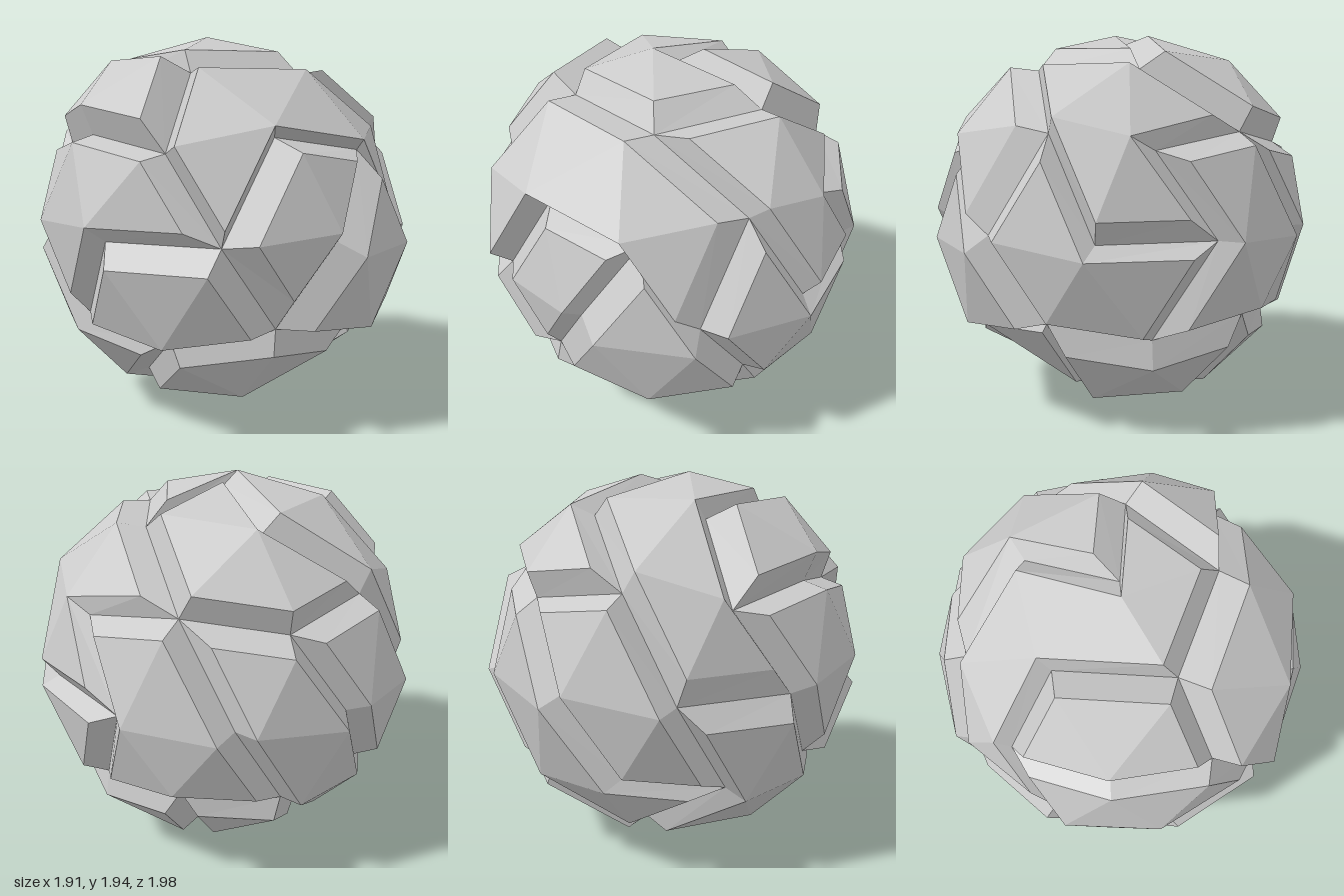
import * as THREE from 'three';

const CENTRE_Y = 0.97, GROOVE_R = 0.905;

// Rings of the subdivided icosahedron: [height, radius]; points are named ring + azimuth
const RINGS = {
  T: [1, 0], A: [0.8507, 0.5257], M: [0.5257, 0.8507], U: [0.4472, 0.8944], E: [0, 1],
  L: [-0.4472, 0.8944], N: [-0.5257, 0.8507], B: [-0.8507, 0.5257], S: [-1, 0],
};

// Groove lines that cut the ball into plates
const GROOVES = [
  'L108 E90 U72 M108 E126 L108', 'U72 E54 L36 N72 L108', 'E126 E162 L180 N144 L108',
  'E126 U144 A144 A72 M36 E54', 'U144 M180 U216 A216 A144', 'T0 A288 M252 U288 M324 A0 T0',
  'A72 A0', 'M36 E18 E342 U0 M324', 'M324 E306 N288 L324 N0 E342', 'N0 L36',
  'U288 E270 L252 N216 B252 N288', 'M252 E234 N216', 'E234 E198 U216', 'E198 L180',
  'L324 B324 S0 B36 L36', 'N72 B108 S0', 'N144 B180 S0', 'B252 S0',
];

// Plates that sit a little differently, found by one of their faces
const PLATE_DEFAULTS = { rise: 0.1, inset: 0.055, slide: [0, 0, 0] };
const PLATE_TWEAKS = {
  'E126 E90 M108': { inset: 0.08, slide: [0.04, 0, 0] },
  'E54 E90 N72': { inset: 0.05, slide: [0.04, -0.03, 0] },
  'E126 E162 N144': { slide: [0, -0.03, 0] },
  'E126 M108 U144': { inset: 0.03, slide: [-0.06, -0.03, 0.04] },
  'A144 A216 M180': { slide: [-0.03, 0.03, 0] },
  'A0 A72 M36': { slide: [0, 0, 0.03] },
  'A0 A288 M324': { slide: [0, 0, -0.02] },
  'B324 B36 N0': { slide: [0, -0.02, 0] },
  'B36 L36 N72': { rise: 0.04, inset: 0.01 },
};

function direction(name) {
  const [y, r] = RINGS[name[0]];
  const a = THREE.MathUtils.degToRad(Number(name.slice(1)));
  return new THREE.Vector3(r * Math.cos(a), y, r * Math.sin(a));
}

const key = (...names) => names.sort().join(' ');

function faceNormal(face) {
  const [a, b, c] = face.map(direction);
  return b.sub(a).cross(c.sub(a));
}

// The 80 faces of the ball, all wound outwards
function ballFaces() {
  const faces = [];
  for (let k = 0; k < 5; k++) {
    const p = (ring, offset) => ring + ((72 * k + offset + 360) % 360);
    const A = p('A', 0), A2 = p('A', 72), M = p('M', 36), U = p('U', 0), U2 = p('U', 72);
    const E = p('E', 18), E2 = p('E', 54), E0 = p('E', -18), N = p('N', 0);
    const L = p('L', 36), L0 = p('L', -36), B = p('B', 36), B0 = p('B', -36);
    faces.push(['T0', A, A2], [A, A2, M], [A, M, U], [A2, M, U2], [M, U, E], [M, U2, E2],
      [M, E, E2], [E, E2, L], [U, E, E0], [E, L, N], [E0, L0, N], [E, E0, N],
      [L, N, B], [L0, N, B0], [N, B, B0], [B, B0, 'S0']);
  }
  return faces.map((f) => (faceNormal(f).dot(direction(f[0])) > 0 ? f : [f[0], f[2], f[1]]));
}

// Flood fill the faces into plates, stopping at grooves
function splitIntoPlates(faces) {
  const cuts = new Set();
  for (const line of GROOVES) {
    const names = line.split(' ');
    for (let i = 1; i < names.length; i++) cuts.add(key(names[i - 1], names[i]));
  }
  const edges = (f) => f.map((v, i) => key(v, f[(i + 1) % 3])).filter((e) => !cuts.has(e));
  const left = new Set(faces), plates = [];
  while (left.size) {
    const plate = [left.values().next().value];
    left.delete(plate[0]);
    for (let i = 0; i < plate.length; i++) {
      const open = edges(plate[i]);
      for (const f of [...left]) {
        if (edges(f).some((e) => open.includes(e))) {
          left.delete(f);
          plate.push(f);
        }
      }
    }
    plates.push(plate);
  }
  return plates;
}

// One plate: an inset top pushed out along the plate's mean normal, with walls down to the grooves
function plateGeometry(faces) {
  const tweak = faces.map((f) => PLATE_TWEAKS[key(...f)]).find(Boolean);
  const { rise, inset, slide } = { ...PLATE_DEFAULTS, ...tweak };
  const base = (v) => direction(v).multiplyScalar(GROOVE_R);

  const push = new THREE.Vector3();
  for (const f of faces) push.add(faceNormal(f));
  push.setLength(rise).add(new THREE.Vector3(...slide));

  // Border edges, each with its inward direction in the plane of its face
  const owner = new Map();
  for (const f of faces) f.forEach((v, i) => owner.set(v + ' ' + f[(i + 1) % 3], f));
  const border = [...owner.keys()].map((e) => e.split(' ')).filter(([a, b]) => !owner.has(b + ' ' + a));
  const leaving = {}, arriving = {};
  for (const [a, b] of border) {
    const along = direction(b).sub(direction(a));
    leaving[a] = arriving[b] = faceNormal(owner.get(a + ' ' + b)).cross(along).normalize();
  }

  const top = (v) => {
    const p = base(v).add(push), n1 = arriving[v], n2 = leaving[v];
    if (n1) p.addScaledVector(n1.clone().add(n2), inset / (1 + n1.dot(n2)));
    return p;
  };

  const points = [];
  for (const f of faces) points.push(...f.map(top));
  for (const [a, b] of border) points.push(base(a), base(b), top(b), base(a), top(b), top(a));
  const geometry = new THREE.BufferGeometry().setFromPoints(points);
  geometry.computeVertexNormals();
  return geometry;
}

export function createModel() {
  const model = new THREE.Group();
  model.name = 'crackedBoulder';
  const stone = new THREE.MeshStandardMaterial({ color: 0xcccccc, flatShading: true });
  splitIntoPlates(ballFaces()).forEach((faces, i) => {
    const plate = new THREE.Mesh(plateGeometry(faces), stone);
    plate.name = 'stonePlate' + (i + 1);
    plate.position.y = CENTRE_Y;
    model.add(plate);
  });
  return model;
}
